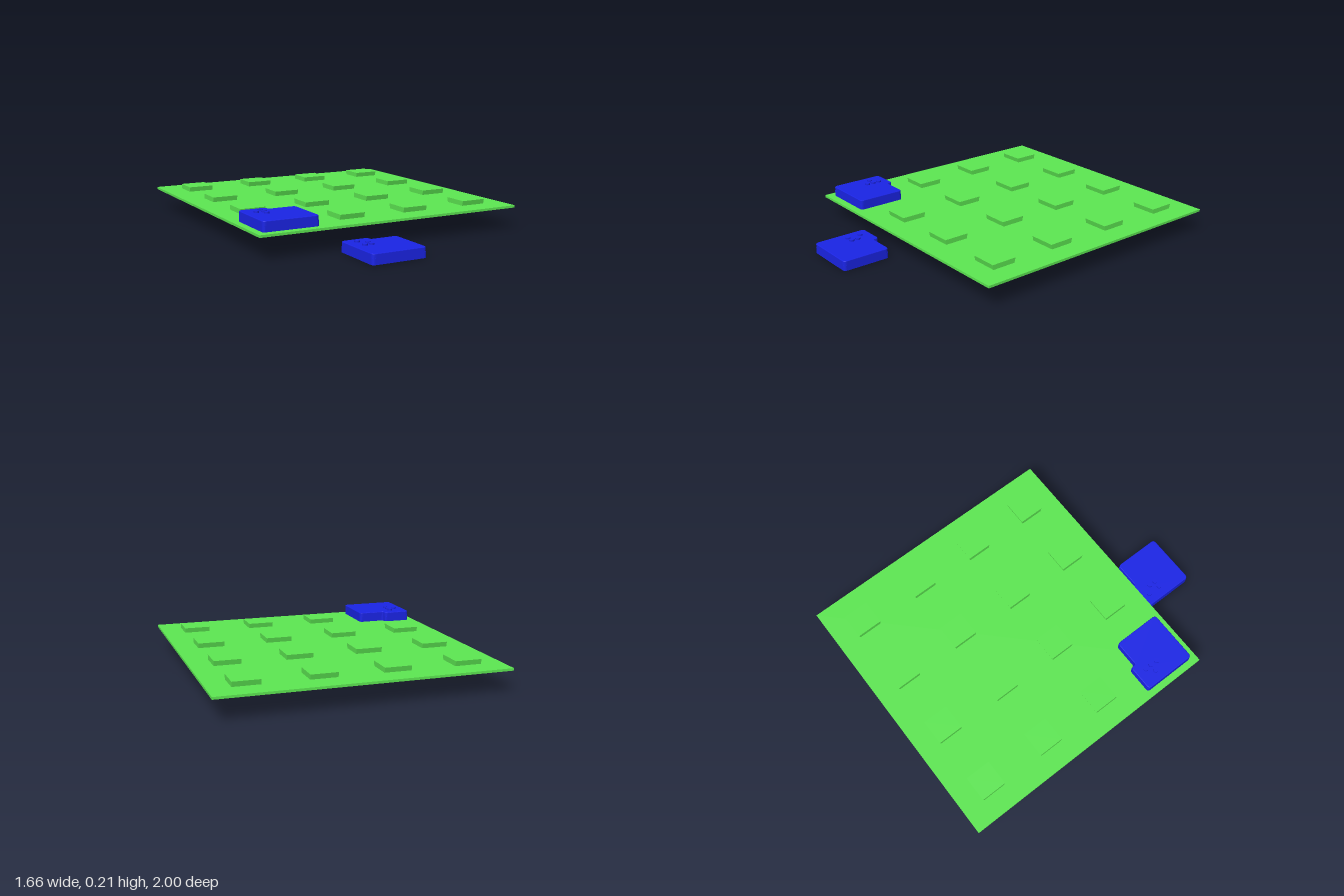
import * as THREE from 'three';

const green = new THREE.MeshStandardMaterial({ color: 0x5de852 });
green.name = 'board green';
const blue = new THREE.MeshStandardMaterial({ color: 0x1a24e6 });
blue.name = 'tile blue';

const PEG = 0.156, PEG_H = 0.03, TILE_H = 0.06;

function add(group, name, geometry, material, x, y, z) {
  const mesh = new THREE.Mesh(geometry, material);
  mesh.name = name;
  mesh.position.set(x, y, z);
  group.add(mesh);
  return mesh;
}

// Rounded square with a tab on the back left; shape y points to the back
function tileShape(inset = 0) {
  const h = 0.165 - inset, r = 0.018, step = 0.13 - inset, t = -inset;
  const s = new THREE.Shape();
  s.moveTo(-h + r, -h);
  s.lineTo(h - r, -h);
  s.quadraticCurveTo(h, -h, h, -h + r);
  s.lineTo(h, step - r);
  s.quadraticCurveTo(h, step, h - r, step);
  s.lineTo(0.018 + t, step);
  s.quadraticCurveTo(0.002 + t, step, 0.002 + t, step + 0.016);
  s.quadraticCurveTo(0.002 + t, h, -0.016 + t, h);
  s.lineTo(-h + r, h);
  s.quadraticCurveTo(-h, h, -h, h - r);
  s.lineTo(-h, -h + r);
  s.quadraticCurveTo(-h, -h, -h + r, -h);
  return s;
}

// Tile with a square socket underneath and raised dots on a small grid
function makeTile(name, dots) {
  const tile = new THREE.Group();
  tile.name = name;
  const bevel = 0.004, q = PEG / 2 + 0.002;

  const lower = tileShape();
  lower.holes.push(new THREE.Path([
    new THREE.Vector2(-q, -q), new THREE.Vector2(-q, q),
    new THREE.Vector2(q, q), new THREE.Vector2(q, -q),
  ]));
  const lowerGeo = new THREE.ExtrudeGeometry(lower, { depth: PEG_H + bevel, bevelEnabled: false, curveSegments: 6 });
  lowerGeo.rotateX(-Math.PI / 2);
  add(tile, 'tileSocketBase', lowerGeo, blue, 0, 0, 0);

  const upperGeo = new THREE.ExtrudeGeometry(tileShape(bevel), {
    depth: TILE_H - PEG_H - 2 * bevel, bevelThickness: bevel, bevelSize: bevel,
    bevelSegments: 3, curveSegments: 6,
  });
  upperGeo.rotateX(-Math.PI / 2);
  add(tile, 'tileTop', upperGeo, blue, 0, PEG_H + bevel, 0);

  const dotGeo = new THREE.CylinderGeometry(0.015, 0.015, 0.012, 20);
  for (const [col, row] of dots) {
    add(tile, 'raisedDot', dotGeo, blue, -0.101 + col * 0.042, TILE_H + 0.004, -0.101 + row * 0.041);
  }
  return tile;
}

export function createModel() {
  const model = new THREE.Group();
  model.name = 'pegBoardWithTiles';

  // Board
  const boardY = 0.127, boardTop = 0.141;
  add(model, 'board', new THREE.BoxGeometry(1.66, boardTop - boardY, 1.664), green,
    0, (boardY + boardTop) / 2, -0.168);

  // Pegs, slightly narrower front to back at the foot
  const pegGeo = new THREE.BoxGeometry(PEG, PEG_H, PEG).toNonIndexed();
  const p = pegGeo.attributes.position;
  for (let i = 0; i < p.count; i++) {
    if (p.getY(i) < 0) p.setZ(i, p.getZ(i) * 0.92);
  }
  pegGeo.computeVertexNormals();
  const pegs = new THREE.Group();
  pegs.name = 'pegs';
  model.add(pegs);
  for (let i = 0; i < 4; i++) {
    for (let j = 0; j < 4; j++) {
      add(pegs, 'peg', pegGeo, green, -0.625 + i * 0.416, boardTop + PEG_H / 2 - 0.001, -0.793 + j * 0.416);
    }
  }

  // One tile placed on the corner peg, one lying in front of the board
  const placed = makeTile('placedTile', [[1, 0], [0, 1], [1, 1], [1, 2]]);
  placed.position.set(-0.625, boardTop + 0.0005, 0.454);
  const loose = makeTile('looseTile', [[0, 0], [1, 1], [0, 2], [1, 2]]);
  loose.position.set(-0.198, 0, 0.835);
  model.add(placed, loose);

  return model;
}
